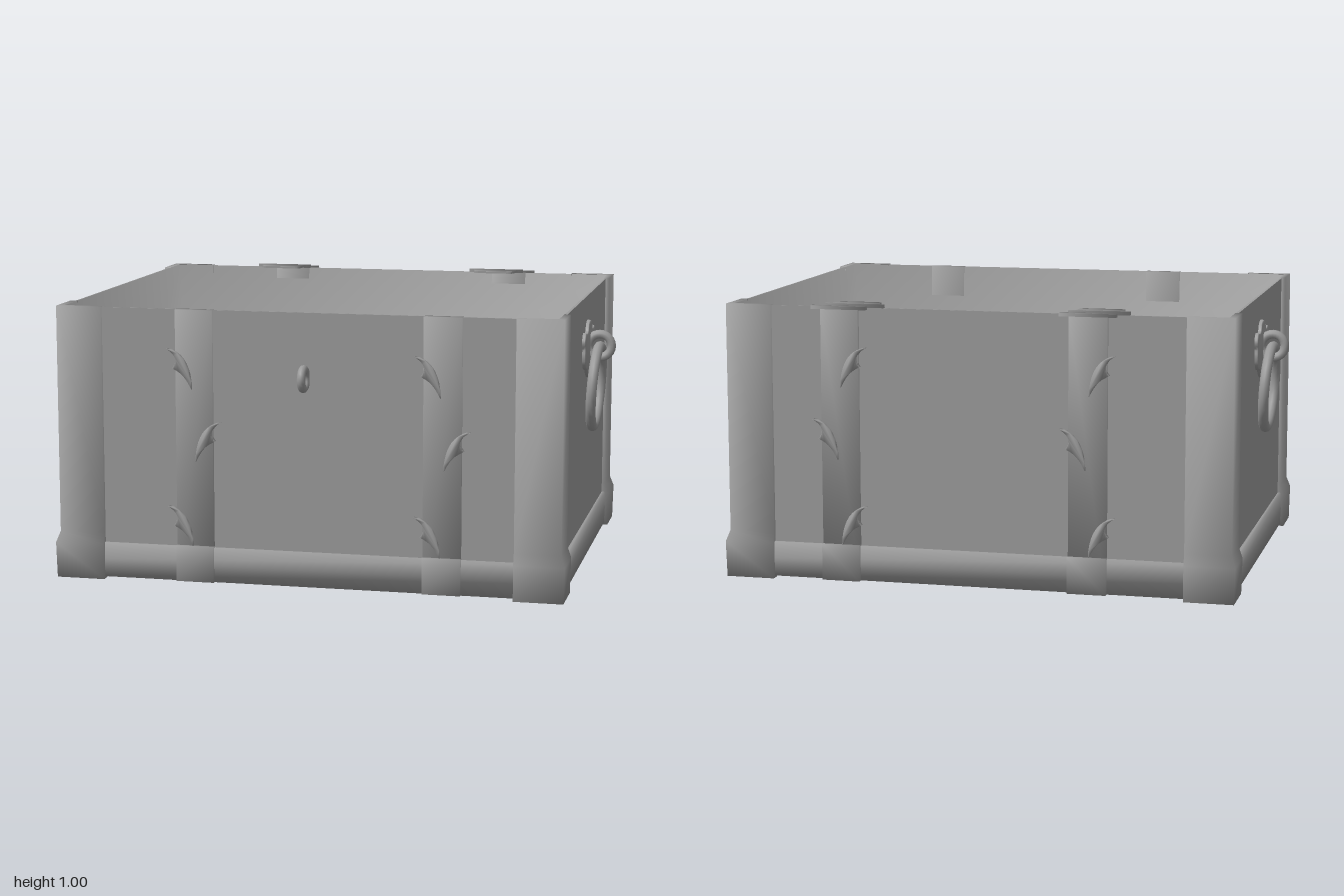
import * as THREE from 'three';
import { toCreasedNormals } from 'three/addons/utils/BufferGeometryUtils.js';

const mat = new THREE.MeshStandardMaterial({ color: 0x9a9a9a, side: THREE.DoubleSide });
const X = 0.893, ZF = 0.695, ZB = -0.735, TOP = 0.985; // outer faces of the box

function add(parent, name, geometry, x = 0, y = 0, z = 0) {
  const mesh = new THREE.Mesh(geometry, mat);
  mesh.name = name;
  mesh.position.set(x, y, z);
  parent.add(mesh);
  return mesh;
}

// Soft shading that also rounds right-angled edges
const soft = geometry => toCreasedNormals(geometry, 1.75);
const softBox = (w, h, d) => soft(new THREE.BoxGeometry(w, h, d));

// Skin between successive loops of [x, y, z] points, with hard edges
function loft(loops, closed, flip = false) {
  const pos = [];
  for (let i = 0; i < loops.length - 1; i++) {
    const n = loops[i].length;
    for (let j = 0; j < (closed ? n : n - 1); j++) {
      const k = (j + 1) % n;
      const a = loops[i][j], b = loops[i][k], c = loops[i + 1][k], d = loops[i + 1][j];
      const tris = flip ? [a, c, b, a, d, c] : [a, b, c, a, c, d];
      tris.forEach(p => pos.push(...p));
    }
  }
  const g = new THREE.BufferGeometry();
  g.setAttribute('position', new THREE.Float32BufferAttribute(pos, 3));
  g.computeVertexNormals();
  return g;
}

// Rectangle outline, counter-clockwise seen from above
const rect = (x, zf, zb, y) => [[-x, y, zf], [x, y, zf], [x, y, zb], [-x, y, zb]];
const grown = (o, y) => rect(X + o, ZF + o, ZB - o, y);

// Flat outline with a small thickness
const plate = (shape, depth, bevel = 0) => soft(new THREE.ExtrudeGeometry(shape, {
  depth, curveSegments: 10, bevelEnabled: bevel > 0,
  bevelThickness: bevel, bevelSize: bevel, bevelSegments: 3,
}));

function leafShape() {
  const s = new THREE.Shape();
  s.moveTo(-0.10, 0.068);
  s.bezierCurveTo(-0.05, 0.065, -0.01, 0.02, -0.008, -0.074);
  s.bezierCurveTo(-0.035, -0.02, -0.05, -0.015, -0.078, 0.0);
  s.bezierCurveTo(-0.055, 0.025, -0.065, 0.05, -0.10, 0.068);
  return s;
}

// Strap with curling leaves, facing +z from its own origin
function makeStrap(name) {
  const strap = new THREE.Group();
  strap.name = name;
  add(strap, 'strapBand', softBox(0.135, TOP - 0.01, 0.03), 0, (TOP + 0.01) / 2, -0.004);
  add(strap, 'strapFoot', softBox(0.137, 0.13, 0.03), 0, 0.075, 0.008);
  [[0.778, 1], [0.52, -1], [0.213, 1]].forEach(([y, side]) => {
    const leaf = add(strap, 'strapLeaf', plate(leafShape(), 0.023), side * 0.002, y, 0);
    leaf.scale.x = side;
  });
  return strap;
}

// Half of the lobed handle plate outline, top to bottom, then mirrored
function handlePlateShape() {
  const half = [[0, 0.10], [0.035, 0.093], [0.055, 0.066], [0.09, 0.062], [0.125, 0.066],
    [0.143, 0.045], [0.131, 0.02], [0.134, -0.015], [0.112, -0.048], [0.07, -0.058], [0.045, -0.078], [0, -0.095]];
  const mirrored = half.slice(1, -1).reverse().map(([x, y]) => [-x, y]);
  const pts = [...half, ...mirrored].map(([x, y]) => new THREE.Vector3(x, y, 0));
  const curve = new THREE.CatmullRomCurve3(pts, true);
  return new THREE.Shape(curve.getPoints(64).slice(0, -1).map(p => new THREE.Vector2(p.x, p.y)));
}

// Ring handle with plate and staple, facing +x from the wall
function makeHandle(name) {
  const handle = new THREE.Group();
  handle.name = name;
  add(handle, 'handlePlate', plate(handlePlateShape(), 0.005, 0.009), 0, 0.785, 0).rotation.y = Math.PI / 2;
  add(handle, 'handleStaple', new THREE.TorusGeometry(0.043, 0.016, 10, 24), 0.048, 0.80, 0);
  const ring = add(handle, 'handleRing', new THREE.TorusGeometry(0.149, 0.019, 10, 32), 0.037, 0.648, 0);
  ring.rotation.set(0, Math.PI / 2, -0.06, 'ZYX');
  return handle;
}

export function createModel() {
  const chest = new THREE.Group();
  chest.name = 'openChest';

  // Outside walls and underside
  add(chest, 'boxOutside', loft([rect(0, 0, 0, 0.025), grown(0, 0.025), grown(0, TOP)], true));

  // Thin rim and softly shaded inside, tapering to the floor
  add(chest, 'boxInside', soft(loft([
    grown(0, TOP), rect(0.884, 0.687, -0.729, TOP), rect(0.825, 0.605, -0.63, 0.1),
    rect(0.81, 0.59, -0.615, 0.1), rect(0, 0, 0, 0.1),
  ], true)));

  // Band around the foot
  add(chest, 'baseBand', soft(loft([
    grown(-0.02, 0.025), grown(-0.01, 0.01), grown(0.011, 0.01), grown(0.014, 0.07),
    grown(0.011, 0.135), grown(-0.001, 0.135),
  ], true)));

  // Corner guards with a wider foot, wrapping both walls
  const levels = [[-0.01, 0.002], [0.025, 0.002], [0.028, 0.13], [0.014, 0.17], [0.014, TOP + 0.002], [-0.009, TOP + 0.002]];
  for (const sx of [-1, 1]) for (const sz of [-1, 1]) {
    const z0 = sz > 0 ? ZF : ZB;
    const ix = sx * 0.742, iz = z0 - sz * 0.145;
    const loops = levels.map(([o, y]) => {
      const xo = sx * (X + o), zo = z0 + sz * o;
      return [[ix, y, z0 - sz * 0.01], [ix, y, zo], [xo, y, zo], [xo, y, iz], [sx * (X - 0.01), y, iz]];
    });
    add(chest, 'cornerGuard', soft(loft(loops, false, sx * sz < 0)));
  }

  // Two straps on the front, mirrored on the back, with hinge flaps folded inside
  const flap = new THREE.Shape();
  flap.moveTo(-0.088, 0);
  flap.lineTo(-0.08, -0.05);
  flap.quadraticCurveTo(-0.078, -0.068, -0.06, -0.068);
  flap.lineTo(0.06, -0.068);
  flap.quadraticCurveTo(0.078, -0.068, 0.08, -0.05);
  flap.lineTo(0.088, 0);
  for (const x of [-0.402, 0.488]) {
    const front = makeStrap('frontStrap');
    front.position.set(x, 0, ZF);
    const back = makeStrap('backStrap');
    back.position.set(x, 0, ZB - 0.008);
    back.scale.z = -1;
    chest.add(front, back);

    const hx = x < 0 ? -0.437 : 0.437;
    add(chest, 'hingeBar', softBox(0.215, 0.012, 0.016), hx, 0.991, -0.728);
    add(chest, 'hingeFlap', plate(flap, 0.008), hx, 0.988, -0.723).rotation.x = -Math.PI / 2;
    add(chest, 'hingeEdge', softBox(0.2, 0.012, 0.022), x, 0.985, -0.752);
  }

  // Ring handles on both ends
  for (const side of [-1, 1]) {
    const handle = makeHandle(side > 0 ? 'leftHandle' : 'rightHandle');
    handle.position.set(side * X, 0, -0.03);
    handle.scale.x = side;
    chest.add(handle);
  }

  // Lock staple on the front
  const staple = add(chest, 'lockStaple', new THREE.TorusGeometry(0.034, 0.015, 10, 24), 0, 0.757, 0.725);
  staple.rotation.y = Math.PI / 2;

  return chest;
}
